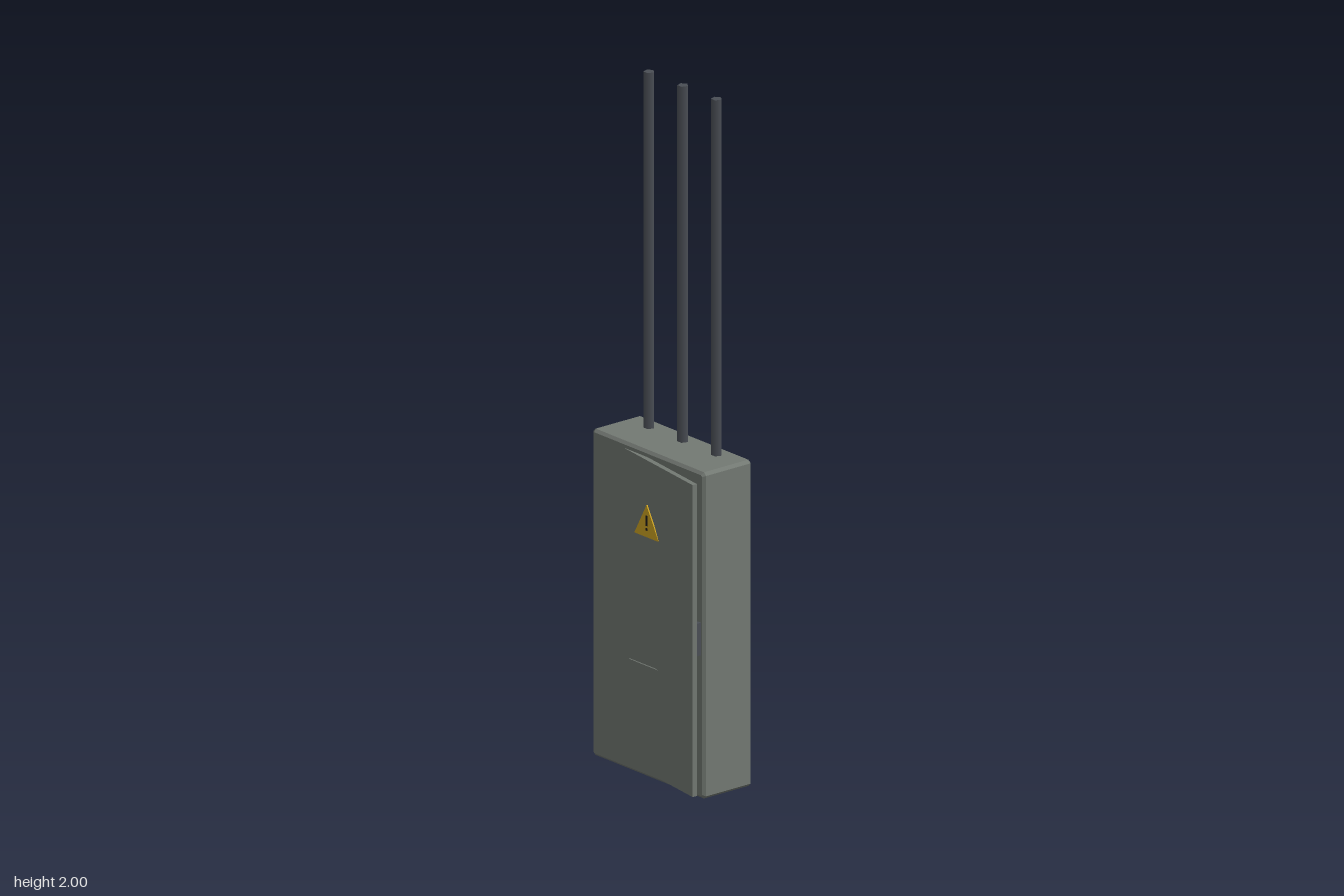
import * as THREE from 'three';

const mat = (name, color) => {
  const m = new THREE.MeshStandardMaterial({ color });
  m.name = name;
  return m;
};

export function createModel() {
  const grey = mat('painted steel', 0x737973);
  const dark = mat('dark rubber', 0x4a4e55);
  const yellow = mat('warning yellow', 0xd0a522);
  const black = mat('sign black', 0x1c1c1c);

  const model = new THREE.Group();
  model.name = 'electricalCabinet';

  const add = (name, geometry, material, x, y, z, parent = model) => {
    const mesh = new THREE.Mesh(geometry, material);
    mesh.name = name;
    mesh.position.set(x, y, z);
    parent.add(mesh);
    return mesh;
  };

  // Cabinet body: chamfered along every edge
  const b = 0.008, w = 0.24 - b, h = 0.477 - b, c = 0.004;
  const outline = new THREE.Shape([
    [-w + c, -h], [w - c, -h], [w, -h + c], [w, h - c],
    [w - c, h], [-w + c, h], [-w, h - c], [-w, -h + c],
  ].map(([x, y]) => new THREE.Vector2(x, y)));
  const body = new THREE.ExtrudeGeometry(outline, {
    depth: 0.175 - 2 * b, bevelEnabled: true,
    bevelSize: b, bevelThickness: b, bevelSegments: 1,
  });
  add('cabinetBody', body, grey, -0.008, 0.482, -0.115 + b);

  // Door, ajar about its hinge
  const door = new THREE.Group();
  door.name = 'door';
  door.position.set(-0.211, 0.485, 0.046);
  door.rotation.y = -0.142;
  model.add(door);
  add('doorPanel', new THREE.BoxGeometry(0.46, 0.912, 0.015), grey, 0.23, 0, -0.0075, door);

  // Latch behind the free edge of the door
  add('latch', new THREE.BoxGeometry(0.015, 0.095, 0.022), dark, 0.2325, 0.482, 0.088);

  // Warning sign, upright in front of the door
  const triangle = new THREE.Shape();
  triangle.moveTo(-0.052, -0.047);
  triangle.lineTo(0.052, -0.047);
  triangle.lineTo(0, 0.047);
  triangle.closePath();
  const sign = new THREE.ExtrudeGeometry(triangle, { depth: 0.004, bevelEnabled: false });
  add('warningSign', sign, yellow, 0.019, 0.768, 0.083);
  add('signBar', new THREE.BoxGeometry(0.007, 0.03, 0.001), black, 0.02, 0.769, 0.0873);
  add('signDot', new THREE.BoxGeometry(0.007, 0.007, 0.001), black, 0.02, 0.744, 0.0873);

  // Blank name plate
  add('namePlate', new THREE.BoxGeometry(0.13, 0.044, 0.004), grey, 0.009, 0.323, 0.085);

  // Three five-sided cables rising out of the roof
  const cable = new THREE.CylinderGeometry(0.016, 0.016, 1.08, 5);
  cable.rotateY(Math.PI);
  for (const x of [-0.153, -0.008, 0.136]) add('cable', cable, dark, x, 1.46, -0.067);

  return model;
}
